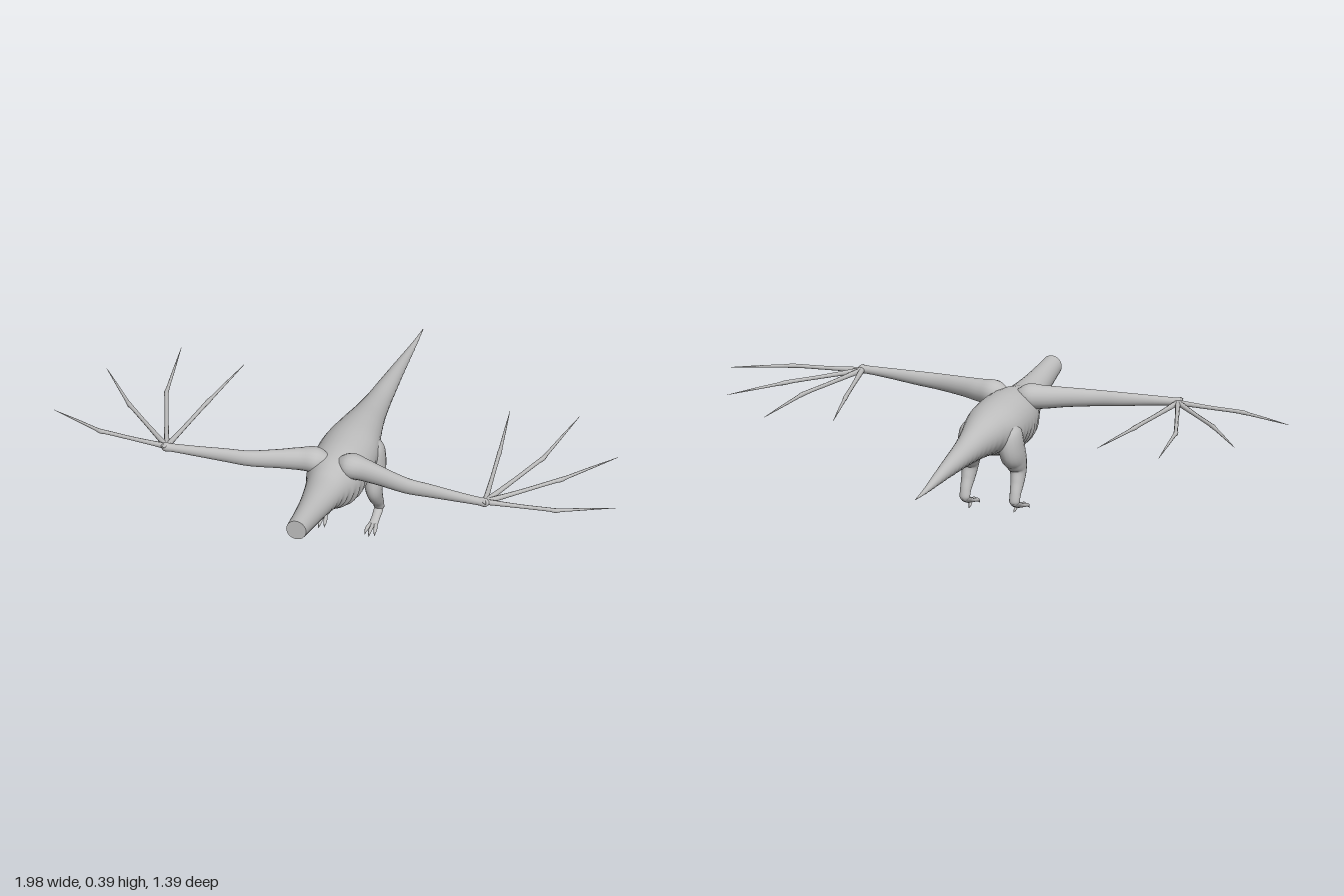
import * as THREE from 'three';

const skin = new THREE.MeshStandardMaterial({ color: 0xbfbfbf });
skin.name = 'grey skin';

// Skin a list of rings (each an array of Vector3, same length) and cap both ends flat.
function loft(rings) {
  const n = rings[0].length, pos = [], idx = [];
  const push = p => pos.push(p.x, p.y, p.z) / 3 - 1;
  rings.forEach(r => r.forEach(push));
  for (let i = 0; i < rings.length - 1; i++) {
    for (let j = 0; j < n; j++) {
      const a = i * n + j, b = i * n + (j + 1) % n;
      idx.push(a, b, a + n, b, b + n, a + n);
    }
  }
  [rings[0], rings[rings.length - 1]].forEach((r, end) => {
    const mid = r.reduce((s, p) => s.add(p), new THREE.Vector3()).divideScalar(n);
    const c = push(mid), ids = r.map(push);
    ids.forEach((a, j) => {
      const b = ids[(j + 1) % n];
      if (end) idx.push(c, a, b); else idx.push(c, b, a);
    });
  });
  const g = new THREE.BufferGeometry();
  g.setAttribute('position', new THREE.Float32BufferAttribute(pos, 3));
  g.setIndex(idx);
  g.computeVertexNormals();
  return g;
}

// Limb through stations [x, y, z, radius across, radius along ref].
function limb(stations, ref, steps, sides) {
  const path = new THREE.CatmullRomCurve3(stations.map(s => new THREE.Vector3(s[0], s[1], s[2])));
  const size = new THREE.CatmullRomCurve3(stations.map((s, i) => new THREE.Vector3(s[3], s[4] ?? s[3], i * 0.05)));
  const rings = [];
  for (let i = 0; i <= steps; i++) {
    const t = i / steps, c = path.getPoint(t), T = path.getTangent(t), r = size.getPoint(t);
    const u = ref.clone().cross(T).normalize(), v = T.clone().cross(u);
    rings.push(Array.from({ length: sides }, (_, j) => {
      const a = j / sides * Math.PI * 2;
      return c.clone().addScaledVector(u, Math.cos(a) * Math.max(r.x, 0.0004))
        .addScaledVector(v, Math.sin(a) * Math.max(r.y, 0.0004));
    }));
  }
  return loft(rings);
}

// Body from tail tip to cut neck: [z, top, bottom, half width].
function bodyGeometry() {
  const s = [
    [-0.697, 0.274, 0.271, 0.001], [-0.6, 0.281, 0.265, 0.009], [-0.5, 0.295, 0.261, 0.017],
    [-0.4, 0.309, 0.257, 0.025], [-0.3, 0.321, 0.252, 0.034], [-0.2, 0.333, 0.246, 0.043],
    [-0.1, 0.350, 0.236, 0.056], [0, 0.367, 0.222, 0.076], [0.1, 0.378, 0.195, 0.098],
    [0.2, 0.381, 0.184, 0.102], [0.25, 0.379, 0.180, 0.100], [0.3, 0.374, 0.186, 0.092],
    [0.35, 0.364, 0.207, 0.077], [0.4, 0.356, 0.233, 0.066], [0.5, 0.356, 0.255, 0.051],
    [0.6, 0.361, 0.274, 0.041], [0.697, 0.367, 0.296, 0.035]];
  const edge = new THREE.CatmullRomCurve3(s.map(p => new THREE.Vector3(p[0], p[1], p[2])));
  const width = new THREE.CatmullRomCurve3(s.map(p => new THREE.Vector3(p[0], p[3], 0)));
  const rings = [], steps = 220, sides = 28;
  for (let i = 0; i <= steps; i++) {
    const t = i / steps, e = edge.getPoint(t), w = width.getPoint(t).y, z = e.x;
    // belly folds, strongest under the chest
    const fold = 0.006 * Math.exp(-(((z - 0.28) / 0.15) ** 2)) + (z < 0.15 && z > -0.65 ? 0.001 : 0);
    const ridge = fold * Math.sin(z / 0.036 * Math.PI * 2);
    const cy = (e.y + e.z) / 2, h = (e.y - e.z) / 2;
    rings.push(Array.from({ length: sides }, (_, j) => {
      const a = j / sides * Math.PI * 2, low = Math.max(0, -Math.sin(a));
      const k = 1 + ridge * Math.sqrt(low) / Math.max(h, 0.01);
      return new THREE.Vector3(Math.cos(a) * w * k, cy + Math.sin(a) * h * k, z);
    }));
  }
  return loft(rings);
}

export function createModel() {
  const model = new THREE.Group();
  model.name = 'wingedReptile';
  const X = new THREE.Vector3(1, 0, 0), Y = new THREE.Vector3(0, 1, 0);
  const add = (parent, name, geometry) => {
    const m = new THREE.Mesh(geometry, skin);
    m.name = name;
    parent.add(m);
  };
  add(model, 'body', bodyGeometry());

  for (const [side, s] of [['left', 1], ['right', -1]]) {
    const flip = pts => pts.map(([x, ...rest]) => [x * s, ...rest]);

    // Wing arm, wrist and four long fingers
    const wing = new THREE.Group();
    wing.name = side + 'Wing';
    model.add(wing);
    add(wing, 'arm', limb(flip([
      [0.02, 0.345, 0.285, 0.025, 0.025], [0.06, 0.35, 0.29, 0.045, 0.043],
      [0.11, 0.35, 0.30, 0.036, 0.040], [0.18, 0.350, 0.322, 0.027, 0.034],
      [0.28, 0.349, 0.350, 0.021, 0.028], [0.36, 0.351, 0.358, 0.018, 0.024],
      [0.46, 0.354, 0.369, 0.015, 0.018], [0.54, 0.356, 0.376, 0.014, 0.014],
      [0.565, 0.356, 0.378, 0.014, 0.015], [0.577, 0.356, 0.378, 0.004, 0.005]]), Y, 48, 18));
    add(wing, 'thumbClaw', limb(flip([
      [0.555, 0.360, 0.375, 0.008], [0.563, 0.364, 0.388, 0.006], [0.570, 0.362, 0.397, 0.001]]), Y, 8, 8));
    const fingers = [
      [0.80, 0.347, 0.99, 0.268], [0.76, 0.16, 0.90, -0.03],
      [0.663, 0.053, 0.70, -0.228], [0.513, 0.064, 0.468, -0.19]];
    fingers.forEach(([mx, mz, tx, tz], i) => {
      const base = [0.56, 0.355, 0.372], at = t =>
        [base[0] + (mx - base[0]) * t, 0.353, base[2] + (mz - base[2]) * t];
      add(wing, 'finger' + (i + 1), limb(flip([
        [...base, 0.010], [...at(0.5), 0.007], [...at(0.92), 0.007], [mx, 0.352, mz, 0.008],
        [mx + (tx - mx) * 0.1, 0.352, mz + (tz - mz) * 0.1, 0.006],
        [(mx + tx) / 2, 0.352, (mz + tz) / 2, 0.004], [tx, 0.351, tz, 0.0006]]), Y, 30, 8));
    });

    // Leg with thigh, shin, foot and toes
    const leg = new THREE.Group();
    leg.name = side + 'Leg';
    model.add(leg);
    add(leg, 'thighAndShin', limb(flip([
      [0.055, 0.325, 0.07, 0.02, 0.015], [0.064, 0.285, 0.072, 0.055, 0.042],
      [0.074, 0.225, 0.078, 0.062, 0.041], [0.081, 0.185, 0.098, 0.048, 0.035],
      [0.085, 0.15, 0.108, 0.036, 0.028], [0.087, 0.11, 0.092, 0.028, 0.023],
      [0.088, 0.075, 0.070, 0.019, 0.019], [0.088, 0.048, 0.059, 0.014, 0.017],
      [0.088, 0.036, 0.056, 0.006, 0.007]]), X, 48, 18));
    add(leg, 'foot', limb(flip([
      [0.088, 0.052, 0.052, 0.010], [0.088, 0.043, 0.068, 0.016, 0.013],
      [0.088, 0.030, 0.095, 0.015, 0.011], [0.088, 0.020, 0.125, 0.015, 0.008],
      [0.088, 0.017, 0.135, 0.006, 0.004]]), Y, 20, 12));
    for (const d of [-1, 0, 1]) {
      const reach = d ? 0 : 0.01;
      add(leg, 'toe', limb(flip([
        [0.088 + d * 0.007, 0.022, 0.115, 0.007], [0.088 + d * 0.012, 0.018, 0.137 + reach, 0.0065],
        [0.088 + d * 0.015, 0.014, 0.152 + reach, 0.006], [0.088 + d * 0.017, 0.001, 0.167 + reach, 0.0008]]), Y, 14, 8));
    }
    add(leg, 'backToe', limb(flip([
      [0.082, 0.026, 0.105, 0.007], [0.080, 0.014, 0.092, 0.005], [0.079, 0.007, 0.078, 0.001]]), Y, 8, 8));
  }
  return model;
}
